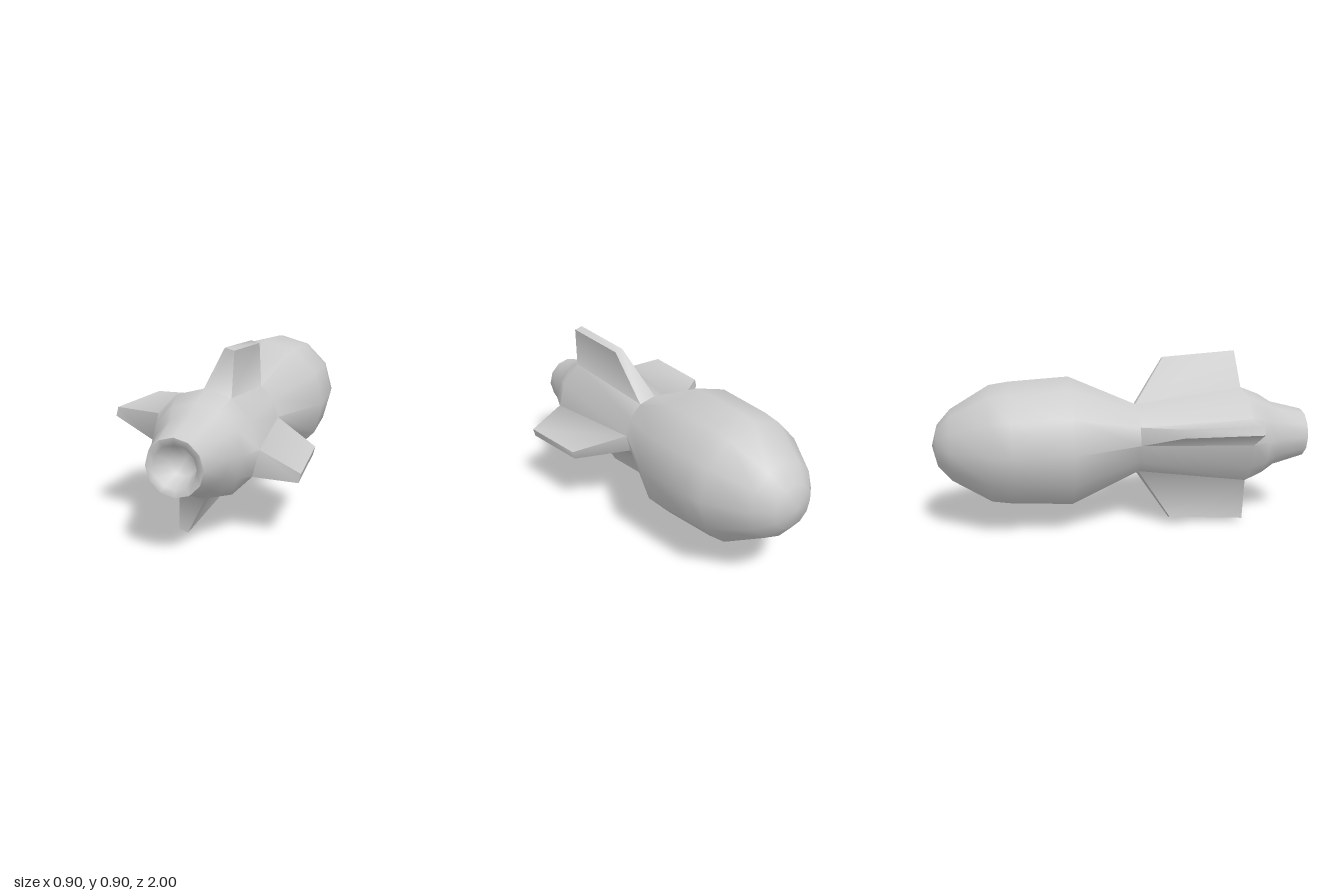
import * as THREE from 'three';
import { toCreasedNormals } from 'three/addons/utils/BufferGeometryUtils.js';

const SIDES = 12;
const AXIS_Y = 0.453;
const STEP = (Math.PI * 2) / SIDES;

// [z, radius] from the rounded nose to the inside of the nozzle
const PROFILE = [
  [-1, 0], [-0.97, 0.11], [-0.9, 0.19], [-0.7, 0.31], [-0.6, 0.325], [-0.29, 0.344],
  [0.07, 0.185], [0.65, 0.262], [0.75, 0.222], [0.82, 0.178], [1, 0.132],
  [0.995, 0.1], [0.9, 0.07], [0.87, 0],
];
const FIN_ROW = 6;                  // profile span that carries the fins
const FIN_SIDES = [2, 5, 8, 11];    // facets the fins grow out of

const ringPoint = (i, j) => {
  const [z, r] = PROFILE[i];
  const a = (j % SIDES) * STEP;
  return [r * Math.cos(a), r * Math.sin(a), z];
};

// fin tip corner: radial distance r, sideways offset w
const tipPoint = (j, r, w, z) => {
  const a = (j + 0.5) * STEP;
  return [r * Math.cos(a) - w * Math.sin(a), r * Math.sin(a) + w * Math.cos(a), z];
};

export function createModel() {
  const positions = [];
  const parts = [];
  const tri = (...p) => p.forEach((v) => positions.push(...v));
  const quad = (a, b, c, d) => { tri(a, b, c); tri(a, c, d); };
  const part = (name, build) => {
    const start = positions.length;
    build();
    parts.push({ name, start, end: positions.length });
  };
  // bands of the turned hull, leaving the fin roots open
  const bands = (from, to) => {
    for (let i = from; i < to; i++) {
      for (let j = 0; j < SIDES; j++) {
        if (i === FIN_ROW && FIN_SIDES.includes(j)) continue;
        const a = ringPoint(i, j), b = ringPoint(i, j + 1);
        const c = ringPoint(i + 1, j + 1), d = ringPoint(i + 1, j);
        if (PROFILE[i][1] === 0) tri(a, c, d);
        else if (PROFILE[i + 1][1] === 0) tri(a, b, c);
        else quad(a, b, c, d);
      }
    }
  };

  part('warhead', () => bands(0, FIN_ROW));
  part('tailBody', () => bands(FIN_ROW, 10));
  part('nozzle', () => bands(10, PROFILE.length - 1));

  // tapered fins sharing the edges of their hull facet
  FIN_SIDES.forEach((j, n) => part(`fin${n + 1}`, () => {
    const b0 = ringPoint(FIN_ROW, j), b1 = ringPoint(FIN_ROW, j + 1);
    const b2 = ringPoint(FIN_ROW + 1, j + 1), b3 = ringPoint(FIN_ROW + 1, j);
    const t0 = tipPoint(j, 0.433, -0.022, 0.235), t1 = tipPoint(j, 0.433, 0.022, 0.235);
    const t2 = tipPoint(j, 0.461, 0.023, 0.637), t3 = tipPoint(j, 0.461, -0.023, 0.637);
    quad(t0, t1, t2, t3);   // tip
    quad(b0, b1, t1, t0);   // sloping edge
    quad(b1, b2, t2, t1);   // side
    quad(b2, b3, t3, t2);   // rear edge
    quad(b3, b0, t0, t3);   // other side
  }));

  // shade all parts together so the fin roots blend into the hull
  const whole = new THREE.BufferGeometry();
  whole.setAttribute('position', new THREE.Float32BufferAttribute(positions, 3));
  const shaded = toCreasedNormals(whole, THREE.MathUtils.degToRad(72));

  const material = new THREE.MeshStandardMaterial({ color: 0xcccccc });
  const group = new THREE.Group();
  group.name = 'finnedRocket';
  for (const { name, start, end } of parts) {
    const geometry = new THREE.BufferGeometry();
    for (const key of ['position', 'normal']) {
      const slice = shaded.getAttribute(key).array.slice(start, end);
      geometry.setAttribute(key, new THREE.BufferAttribute(slice, 3));
    }
    const mesh = new THREE.Mesh(geometry, material);
    mesh.name = name;
    mesh.position.y = AXIS_Y;
    group.add(mesh);
  }
  return group;
}
